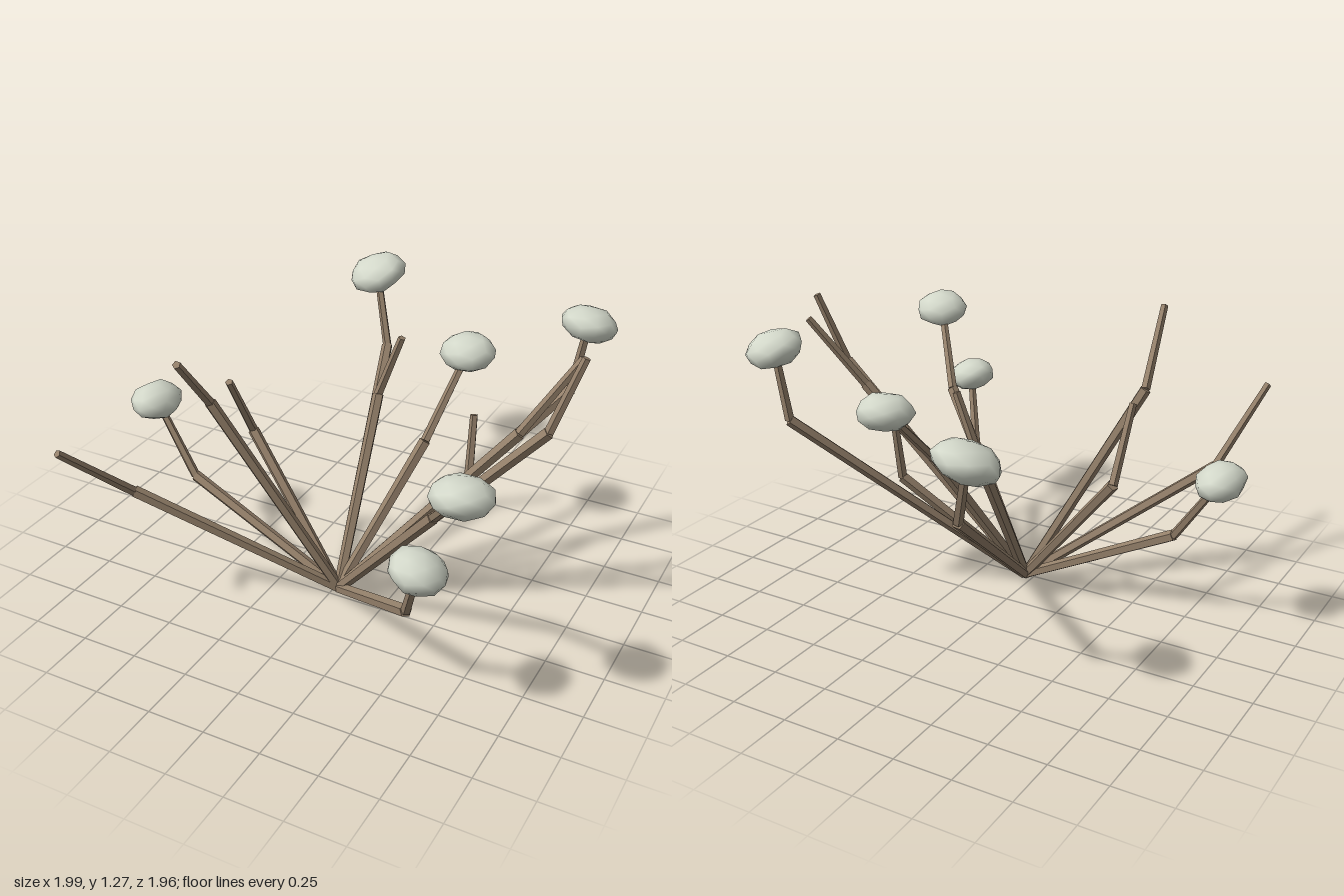
import * as THREE from 'three';
import { mergeVertices } from 'three/addons/utils/BufferGeometryUtils.js';

const bark = new THREE.MeshStandardMaterial({ color: 0x94806a });
bark.name = 'bark brown';
bark.flatShading = true;
const fluff = new THREE.MeshStandardMaterial({ color: 0xd3d8ca });
fluff.name = 'pale grey green';

const UP = new THREE.Vector3(0, 1, 0);
const ROOT = new THREE.Vector3(0.03, 0.02, 0.22);

// Five-sided stick running from a to b
function stick(name, a, b, r0, r1) {
  const dir = b.clone().sub(a);
  const mesh = new THREE.Mesh(new THREE.CylinderGeometry(r1, r0, dir.length(), 5), bark);
  mesh.name = name;
  mesh.position.copy(a).addScaledVector(dir, 0.5);
  mesh.quaternion.setFromUnitVectors(UP, dir.normalize());
  return mesh;
}

// Flattened, slightly lumpy ball with smooth normals
function tuft(center, [rx, ry, rz], [tiltX, tiltZ], seed) {
  let geo = new THREE.IcosahedronGeometry(1, 1);
  geo.deleteAttribute('normal');
  geo.deleteAttribute('uv');
  geo = mergeVertices(geo, 1e-3);
  const pos = geo.attributes.position;
  const v = new THREE.Vector3();
  for (let i = 0; i < pos.count; i++) {
    v.fromBufferAttribute(pos, i);
    const lump = 0.98 + 0.06 * Math.sin(v.x * 5 + seed * 2.1) * Math.cos(v.z * 4 + v.y * 3 + seed);
    v.multiplyScalar(lump);
    pos.setXYZ(i, v.x * rx, v.y * ry, v.z * rz);
  }
  geo.computeVertexNormals();
  const mesh = new THREE.Mesh(geo, fluff);
  mesh.name = 'tuft';
  mesh.position.copy(center);
  mesh.rotation.set(tiltX, 0, tiltZ);
  return mesh;
}

// Each branch: elbow, tip, and for some a tuft with radii and tilt
const BRANCHES = [
  { elbow: [-0.22, 0.73, -0.74], tip: [-0.33, 1.04, -0.85], size: [0.137, 0.078, 0.135], tilt: [0.25, 0.22] },
  { elbow: [0.27, 0.65, -0.12], tip: [0.33, 0.96, -0.41], size: [0.122, 0.08, 0.12], tilt: [0.08, 0] },
  { elbow: [0.78, 0.86, -0.47], tip: [0.83, 1.17, -0.48], size: [0.122, 0.075, 0.122], tilt: [-0.22, -0.15] },
  { elbow: [-0.69, 0.39, 0.22], tip: [-0.9, 0.7, 0.18], size: [0.105, 0.078, 0.135], tilt: [-0.06, -0.1] },
  { elbow: [0.57, 0.39, 0.68], tip: [0.68, 0.7, 0.82], size: [0.118, 0.078, 0.112], tilt: [-0.05, -0.25] },
  { elbow: [0.6, 0.73, 0.52], tip: [0.82, 1.03, 0.78], size: [0.125, 0.078, 0.125], tilt: [-0.2, 0.04] },
  { elbow: [-0.69, 0.55, 0.66], tip: [-0.8, 0.86, 0.97] },
  { elbow: [-0.43, 0.93, 0.45], tip: [-0.385, 1.23, 0.72] },
  { elbow: [-0.46, 0.62, 0.09], tip: [-0.46, 0.93, 0.26] },
  { elbow: [-0.015, 0.75, -0.24], tip: [0.09, 1.04, -0.25] },
  { elbow: [0.5, 0.51, -0.06], tip: [0.48, 0.82, -0.14] },
  { elbow: [0.74, 0.88, 0.02], tip: [0.93, 1.19, -0.12] },
  { elbow: [0.88, 0.95, 0.08], tip: [0.98, 1.26, 0.01] },
];

export function createModel() {
  const model = new THREE.Group();
  model.name = 'branchingShrub';
  BRANCHES.forEach(({ elbow, tip, size, tilt }, i) => {
    const branch = new THREE.Group();
    branch.name = 'branch' + (i + 1);
    const e = new THREE.Vector3(...elbow);
    const t = new THREE.Vector3(...tip);
    branch.add(stick('lowerStem', ROOT, e, 0.024, 0.026));
    branch.add(stick('upperTwig', e, t, 0.021, 0.017));
    if (size) branch.add(tuft(t, size, tilt, i));
    model.add(branch);
  });
  return model;
}
